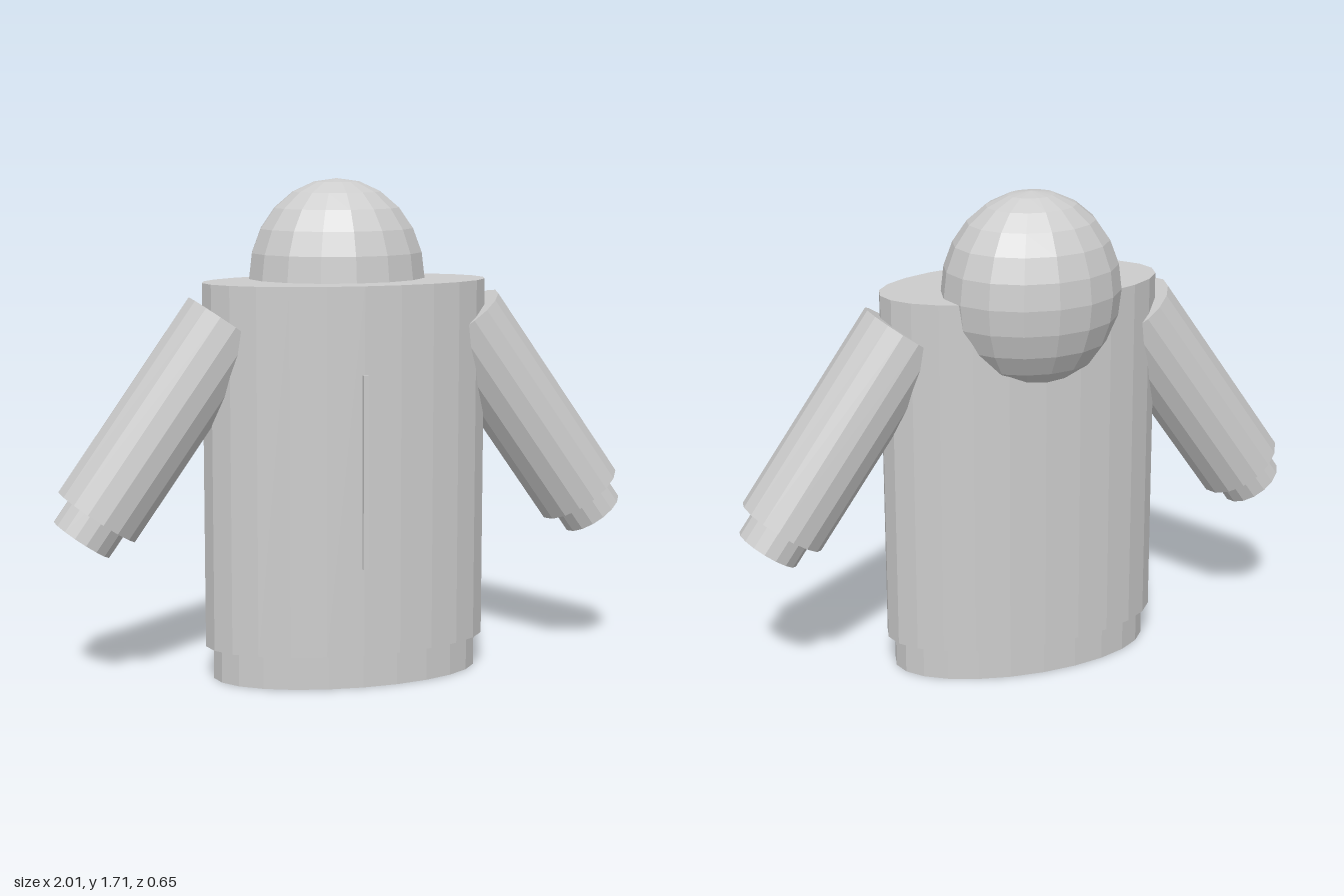
import * as THREE from 'three';

export function createModel() {
  const model = new THREE.Group();
  model.name = 'hoodedJacket';
  const fabric = new THREE.MeshStandardMaterial({ color: 0xcccccc, flatShading: true });
  fabric.name = 'grey fabric';

  const add = (parent, name, geometry, x, y, z) => {
    const mesh = new THREE.Mesh(geometry, fabric);
    mesh.name = name;
    mesh.position.set(x, y, z);
    parent.add(mesh);
    return mesh;
  };
  const tube = (radius, height, sides) => new THREE.CylinderGeometry(radius, radius, height, sides);
  const bodyZ = 0.055;

  // Oval torso with a slightly narrower hem band
  add(model, 'torso', tube(1, 1.25, 24).scale(0.495, 1, 0.255), 0, 0.74, bodyZ);
  add(model, 'hemBand', tube(1, 0.23, 24).scale(0.468, 1, 0.242), 0, 0.115, bodyZ);

  // Hood sunk into the back of the neck
  add(model, 'hood', new THREE.SphereGeometry(1, 16, 12).scale(0.31, 0.34, 0.263), 0, 1.365, -0.058);

  // Front zipper strip
  add(model, 'zipper', new THREE.BoxGeometry(0.016, 0.655, 0.03), 0, 0.743, 0.31);

  // Slanted sleeves with cuffs, pivoting at the shoulder
  for (const side of [1, -1]) {
    const arm = new THREE.Group();
    arm.name = side > 0 ? 'leftSleeve' : 'rightSleeve';
    arm.position.set(side * 0.413, 1.23, bodyZ);
    arm.rotation.z = side * THREE.MathUtils.degToRad(35);
    add(arm, 'sleeve', tube(0.155, 0.782, 16), 0, -0.391, 0);
    add(arm, 'cuff', tube(0.112, 0.18, 16), 0, -0.784, 0);
    model.add(arm);
  }
  return model;
}
